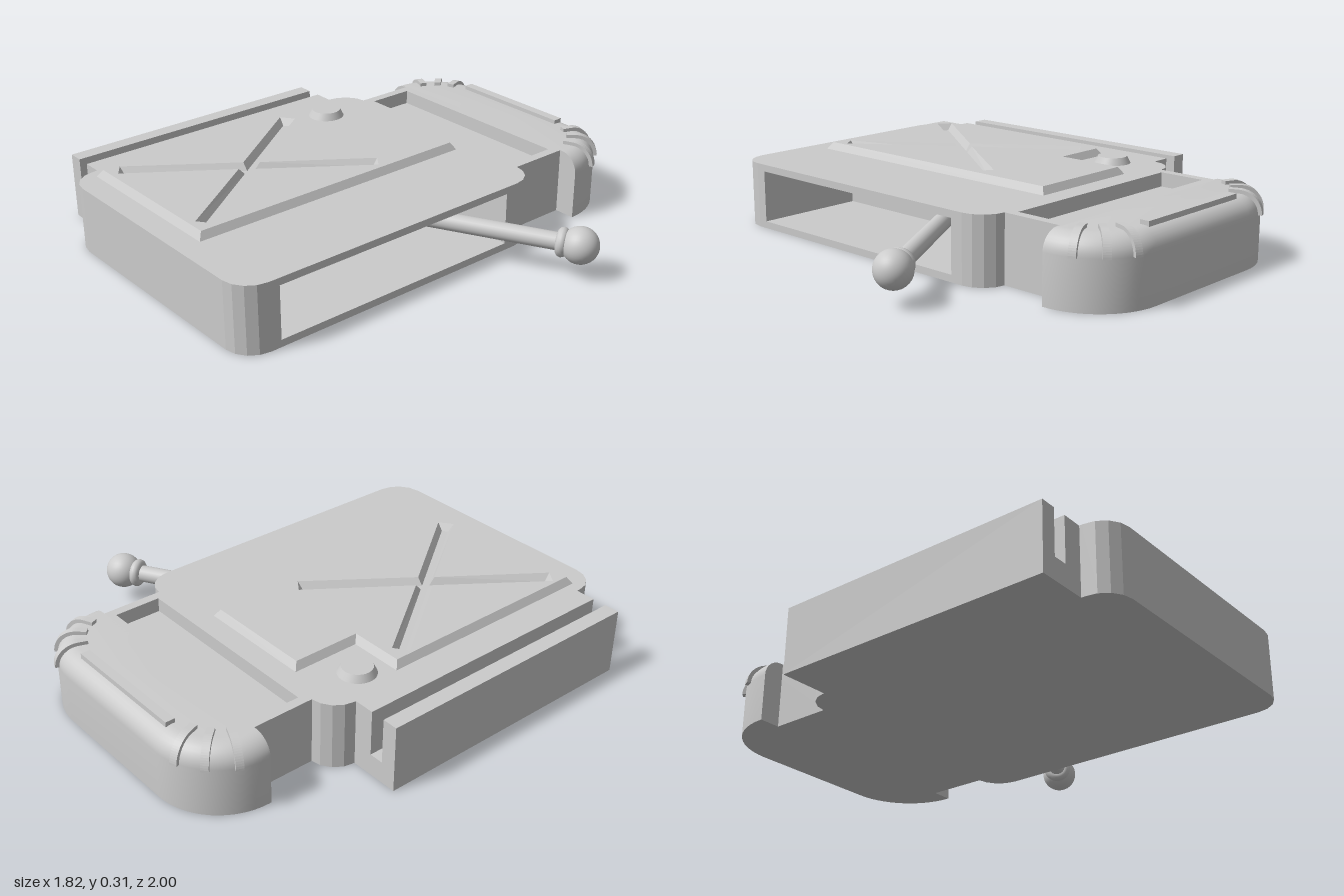
import * as THREE from 'three';
import { toCreasedNormals } from 'three/addons/utils/BufferGeometryUtils.js';

const material = new THREE.MeshStandardMaterial({ color: 0xcccccc });

function add(parent, name, geometry) {
  const mesh = new THREE.Mesh(geometry, material);
  mesh.name = name;
  parent.add(mesh);
  return mesh;
}

// Plan points are [x, z]; shapes live in (x, -z) and are raised along y.
const plan = (pts) => pts.map(([x, z]) => new THREE.Vector2(x, -z));
const rect = (x0, x1, z0, z1) => [[x0, z1], [x1, z1], [x1, z0], [x0, z0]];

function slab(pts, y0, y1, hole) {
  const shape = new THREE.Shape(plan(pts));
  if (hole) shape.holes.push(new THREE.Path(plan(hole)));
  return new THREE.ExtrudeGeometry(shape, { depth: y1 - y0, bevelEnabled: false })
    .rotateX(-Math.PI / 2).translate(0, y0, 0);
}

// Arc in plan, angles in degrees, 90 pointing to the back
function arc(cx, cz, r, a0, a1, n) {
  return Array.from({ length: n + 1 }, (_, i) => {
    const a = THREE.MathUtils.degToRad(a0 + (a1 - a0) * i / n);
    return [cx + r * Math.cos(a), cz - r * Math.sin(a)];
  });
}

// Body outline, with an optional notch for the side compartment
function bodyOutline(notch) {
  const r = 0.115, x0 = -0.7, x1 = 0.49, z0 = -0.45, z1 = 1;
  return [
    ...arc(x0 + r, z1 - r, r, 180, 270, 4),
    ...arc(x1 - r, z1 - r, r, 270, 360, 4),
    ...(notch ? [[x1, 0.84], [0, 0.84], [0, -0.28], [x1, -0.28]] : []),
    ...arc(x1 - r, z0 + r, r, 0, 90, 4),
    ...arc(x0 + r, z0 + r, r, 90, 180, 4),
  ];
}

// Lid: stacked rings with rounded back corners and a rounded top edge
function lidGeometry() {
  const fillet = 0.08, height = 0.28, rings = [[0, 0]];
  for (let i = 0; i <= 8; i++) {
    const a = (i / 8) * Math.PI / 2;
    rings.push([fillet * (1 - Math.cos(a)), height - fillet + fillet * Math.sin(a)]);
  }
  const positions = [], index = [];
  let n = 0;
  for (const [inset, y] of rings) {
    const r = 0.28 - inset;
    const ring = [[0.19 + r, -0.71], ...arc(0.19, -0.72, r, 0, 90, 14),
      ...arc(-0.4, -0.72, r, 90, 180, 14), [-0.4 - r, -0.71]];
    n = ring.length;
    ring.forEach(([x, z]) => positions.push(x, y, z));
  }
  for (let k = 0; k < rings.length - 1; k++) {
    for (let i = 0; i < n; i++) {
      const a = k * n + i, b = k * n + (i + 1) % n;
      index.push(a, b, b + n, a, b + n, a + n);
    }
  }
  const bottom = positions.length / 3, top = bottom + 1, last = (rings.length - 1) * n;
  positions.push(-0.105, 0, -0.8, -0.105, height, -0.8);
  for (let i = 0; i < n; i++) {
    const j = (i + 1) % n;
    index.push(bottom, j, i, top, last + i, last + j);
  }
  const g = new THREE.BufferGeometry();
  g.setAttribute('position', new THREE.Float32BufferAttribute(positions, 3));
  g.setIndex(index);
  return toCreasedNormals(g, 0.6);
}

// Grip rib: bent strip that follows the rounded edge of the lid
function ribGeometry() {
  const s = new THREE.Shape();
  s.moveTo(0.16, 0.27);
  s.lineTo(0.16, 0.295);
  s.lineTo(0.2, 0.295);
  s.absarc(0.2, 0.2, 0.095, Math.PI / 2, 0, true);
  s.lineTo(0.265, 0.2);
  s.absarc(0.2, 0.2, 0.065, 0, Math.PI / 2, false);
  const g = new THREE.ExtrudeGeometry(s, { depth: 0.03, bevelEnabled: false, curveSegments: 8 });
  return g.translate(0, 0, -0.015);
}

// Raised L-shaped panel with sloping sides and a crossed groove
function panelGeometry() {
  const shape = new THREE.Shape(plan([
    [-0.65, 0.9], [0.09, 0.9], [0.09, -0.385], [-0.42, -0.385], [-0.42, -0.09], [-0.65, -0.09],
  ]));
  const cx = -0.285, cz = 0.41, half = 0.014;
  const d = new THREE.Vector2(0.295, 0.41).normalize();
  const len = 0.5, nx = half / d.y, nz = half / d.x;
  const e = [d.x * len, d.y * len], p = [d.y * half, d.x * half];
  const cross = [
    [nx, 0], [e[0] + p[0], e[1] - p[1]], [e[0] - p[0], e[1] + p[1]],
    [0, nz], [-e[0] + p[0], e[1] + p[1]], [-e[0] - p[0], e[1] - p[1]],
    [-nx, 0], [-e[0] - p[0], -e[1] + p[1]], [-e[0] + p[0], -e[1] - p[1]],
    [0, -nz], [e[0] - p[0], -e[1] - p[1]], [e[0] + p[0], -e[1] + p[1]],
  ].map(([x, z]) => [cx + x, cz + z]);
  shape.holes.push(new THREE.Path(plan(cross)));
  return new THREE.ExtrudeGeometry(shape, {
    depth: 0.005, bevelThickness: 0.03, bevelSize: 0.02, bevelOffset: -0.02, bevelSegments: 1,
  }).rotateX(-Math.PI / 2).translate(0, 0.275, 0);
}

export function createModel() {
  const model = new THREE.Group();
  model.name = 'canisterDevice';

  // Body in three layers, leaving a compartment open on its left side
  const body = new THREE.Group();
  body.name = 'body';
  model.add(body);
  add(body, 'bodyFloor', slab(bodyOutline(false), 0, 0.03));
  add(body, 'bodyWalls', slab(bodyOutline(true), 0.03, 0.25));
  add(body, 'bodyTop', slab(bodyOutline(false), 0.25, 0.28));

  // Neck with a shallow rectangular recess
  const neck = rect(-0.59, 0.38, -0.72, -0.44);
  add(model, 'neckBase', slab(neck, 0, 0.22));
  add(model, 'neckRim', slab(neck, 0.22, 0.28, rect(-0.55, 0.34, -0.68, -0.48)));

  // Lid with a grip bar and corner ribs
  add(model, 'lid', lidGeometry());
  add(model, 'lidBar', slab(rect(-0.39, 0.17, -0.945, -0.905), 0.27, 0.297));
  const rib = ribGeometry();
  for (const angle of [23, 47, 70]) {
    for (const side of [1, -1]) {
      const mesh = add(model, 'lidRib', rib);
      mesh.position.set(side > 0 ? 0.19 : -0.4, 0, -0.72);
      mesh.rotation.y = THREE.MathUtils.degToRad(side > 0 ? angle : 180 - angle);
    }
  }

  // Slotted rail along the right side
  const u = new THREE.Shape([
    [-0.91, 0], [-0.69, 0], [-0.69, 0.28], [-0.785, 0.28],
    [-0.785, 0.09], [-0.845, 0.09], [-0.845, 0.28], [-0.91, 0.28],
  ].map(([x, y]) => new THREE.Vector2(x, y)));
  add(model, 'slottedRail',
    new THREE.ExtrudeGeometry(u, { depth: 1.205, bevelEnabled: false }).translate(0, 0, -0.335));

  // Top panel and round button
  add(model, 'topPanel', panelGeometry());
  const button = new THREE.CylinderGeometry(0.062, 0.077, 0.03, 32);
  add(model, 'button', toCreasedNormals(button, 0.5)).position.set(-0.565, 0.295, -0.21);

  // Lever: rod, collar and ball, built along y and tilted into place
  const foot = new THREE.Vector3(0.01, 0.157, 0.122), tip = new THREE.Vector3(0.833, 0.14, -0.336);
  const length = foot.distanceTo(tip);
  const lever = new THREE.Group();
  lever.name = 'lever';
  lever.position.copy(foot);
  lever.quaternion.setFromUnitVectors(new THREE.Vector3(0, 1, 0), tip.clone().sub(foot).normalize());
  model.add(lever);
  add(lever, 'leverRod', new THREE.CylinderGeometry(0.036, 0.036, length, 24).translate(0, length / 2, 0));
  add(lever, 'leverCollar', new THREE.TorusGeometry(0.038, 0.022, 12, 32)
    .rotateX(Math.PI / 2).translate(0, length - 0.07, 0));
  add(lever, 'leverBall', new THREE.SphereGeometry(0.075, 32, 20).translate(0, length, 0));

  return model;
}
